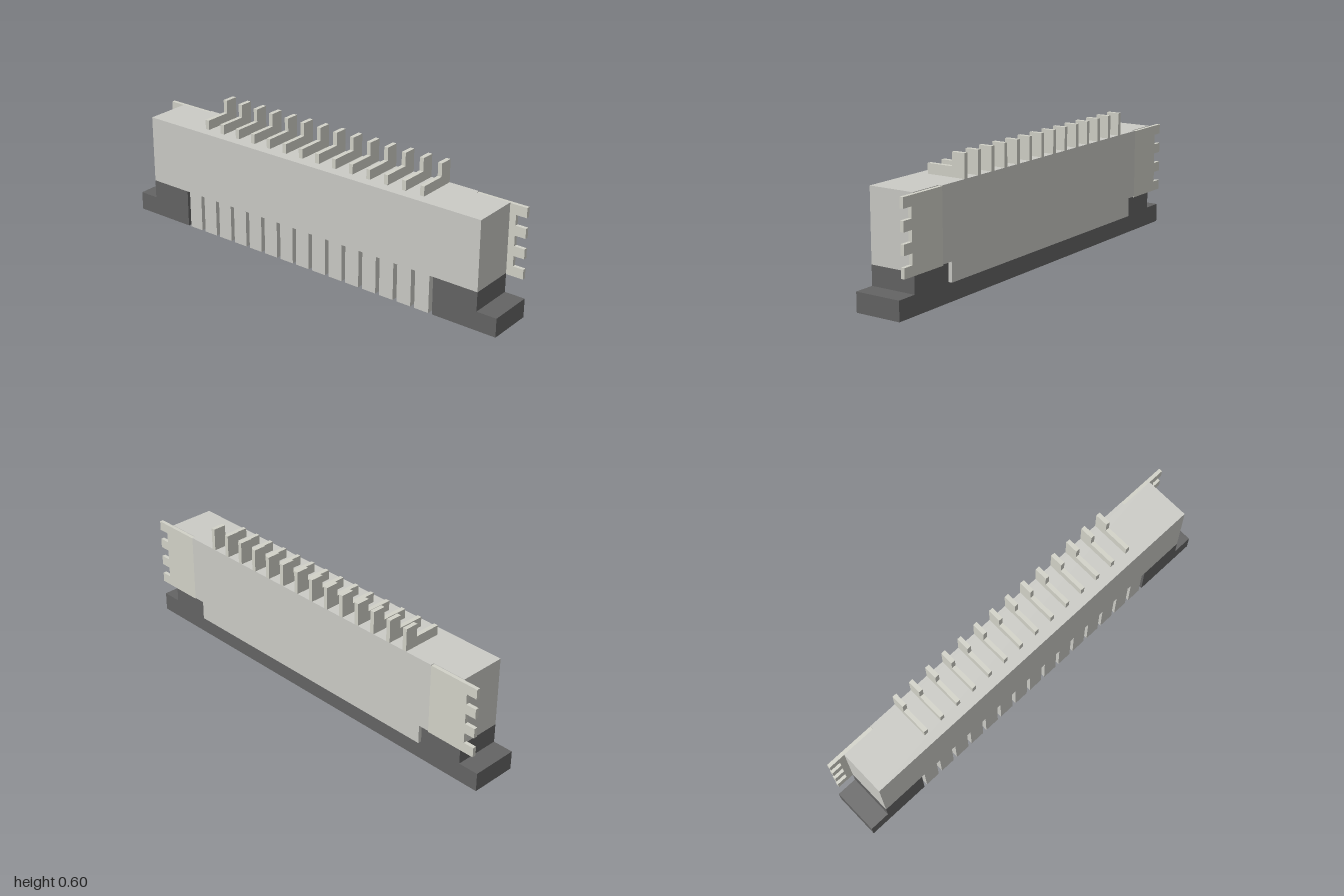
import * as THREE from 'three';

const housingMat = new THREE.MeshStandardMaterial({ color: 0xcbcbc6 });
const metalMat = new THREE.MeshStandardMaterial({ color: 0xd2d2c8 });
const baseMat = new THREE.MeshStandardMaterial({ color: 0x646464 });

const FRONT = 0.117, BACK = -0.10, REAR = -0.117; // z planes
const STEP = 0.087, SEAT = 0.175, TOP = 0.495; // y levels

// Box given by its limits on each axis
function block(name, mat, [x0, x1], [y0, y1], [z0, z1]) {
  const mesh = new THREE.Mesh(new THREE.BoxGeometry(x1 - x0, y1 - y0, z1 - z0), mat);
  mesh.position.set((x0 + x1) / 2, (y0 + y1) / 2, (z0 + z1) / 2);
  mesh.name = name;
  return mesh;
}

// Polygon extruded to a given thickness
function plate(name, mat, points, depth) {
  const shape = new THREE.Shape(points.map(([x, y]) => new THREE.Vector2(x, y)));
  const mesh = new THREE.Mesh(new THREE.ExtrudeGeometry(shape, { depth, bevelEnabled: false }), mat);
  mesh.name = name;
  return mesh;
}

export function createModel() {
  const model = new THREE.Group();
  model.name = 'ribbonCableConnector';

  // Housing: main block, rear skin and the lower wall behind the cable slot
  const housing = new THREE.Group();
  housing.name = 'housing';
  housing.add(
    block('mainBlock', housingMat, [-0.905, 0.905], [SEAT, TOP], [BACK, FRONT]),
    block('rearSkin', housingMat, [-0.745, 0.745], [SEAT, TOP], [REAR, BACK]),
    block('lowerRearWall', housingMat, [-0.695, 0.69], [STEP, SEAT], [REAR, 0.005])
  );
  model.add(housing);

  // Dark locking slider: rear bar, end feet and raised shoulders
  const slider = new THREE.Group();
  slider.name = 'slider';
  slider.add(block('rearBar', baseMat, [-0.695, 0.69], [0, STEP], [BACK, 0.005]));
  for (const [side, inner] of [[-1, 0.695], [1, 0.69]]) {
    const foot = plate('endFoot', baseMat, [
      [inner, 0], [1, 0], [1, STEP], [0.905, STEP], [0.905, SEAT], [inner, SEAT],
    ].map(([x, y]) => [side * x, y]), FRONT - BACK);
    foot.position.z = BACK;
    slider.add(foot);
  }
  model.add(slider);

  // Contacts on a regular pitch, with a comb of front teeth between them
  const count = 14, pitch = 0.0914, centre = -0.004;
  const contacts = new THREE.Group();
  contacts.name = 'contacts';
  const pinOutline = [[0.07, TOP], [0.07, 0.54], [-0.055, 0.54], [-0.055, 0.6], [REAR, 0.6], [REAR, TOP]];
  for (let i = 0; i < count; i++) {
    const pin = plate('contactPin', metalMat, pinOutline.map(([z, y]) => [-z, y]), 0.02);
    pin.rotation.y = Math.PI / 2;
    pin.position.x = centre + (i - (count - 1) / 2) * pitch - 0.01;
    contacts.add(pin);
  }
  model.add(contacts);

  const teeth = new THREE.Group();
  teeth.name = 'frontTeeth';
  for (let i = 0; i <= count; i++) {
    const x = centre + (i - count / 2) * pitch;
    teeth.add(block('tooth', housingMat, [x - 0.0357, x + 0.0357], [0, SEAT], [0.06, FRONT]));
  }
  model.add(teeth);

  // Notched metal solder tabs at both ends
  for (const side of [-1, 1]) {
    const outline = [[0.745, 0.17]];
    for (let i = 0; i < 4; i++) {
      const y = 0.17 + i * 0.0925;
      outline.push([i ? 0.935 : 0.985, y], [0.985, y], [0.985, y + 0.045], [0.935, y + 0.045]);
    }
    outline.splice(1, 1); // first tooth starts at the bottom edge
    outline.pop(); // last tooth ends at the top edge
    outline.push([0.745, 0.4925]);
    const tab = plate('solderTab', metalMat, outline.map(([x, y]) => [side * x, y]), BACK - REAR);
    tab.position.z = REAR;
    model.add(tab);
  }
  return model;
}
